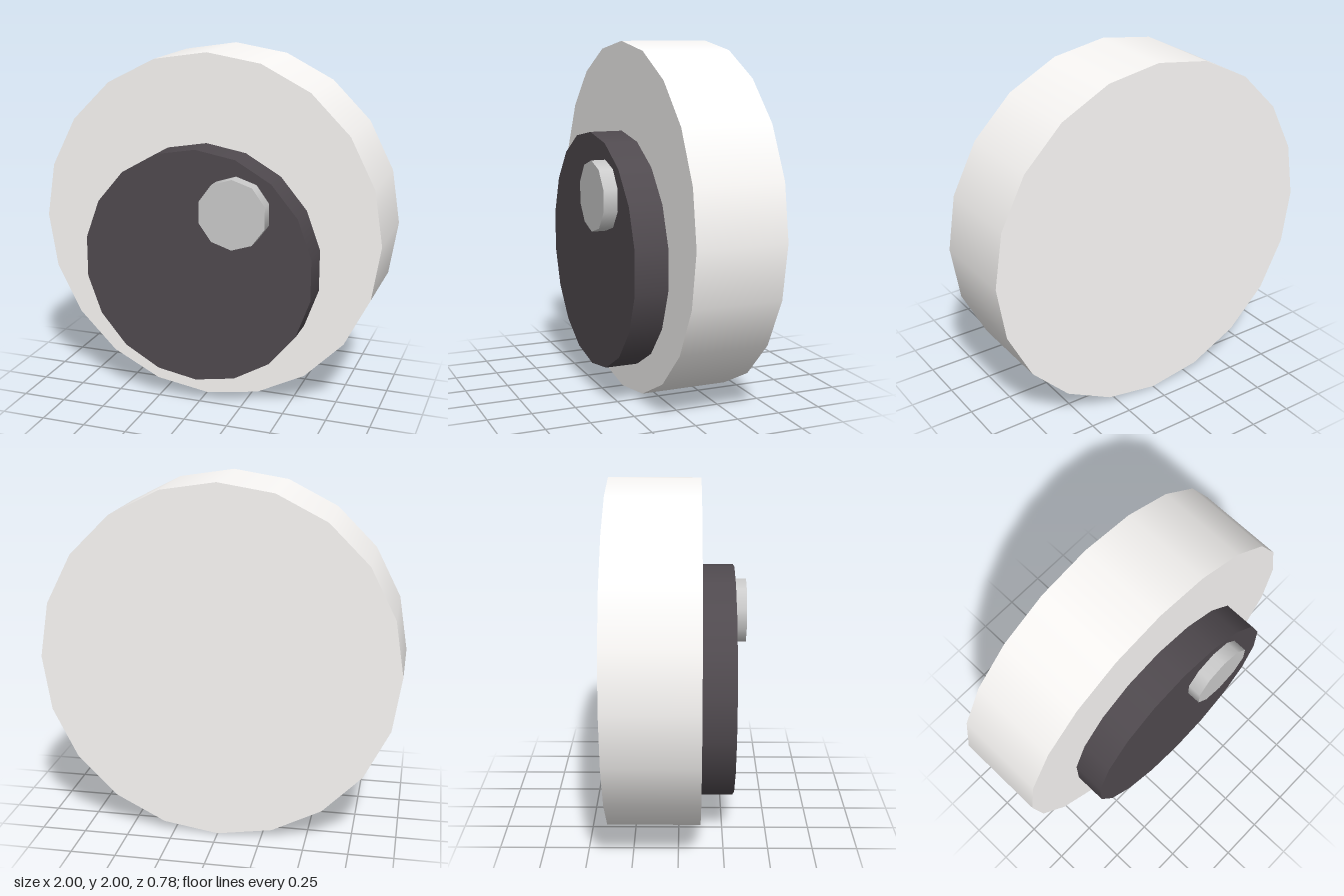
import * as THREE from 'three';

// Disc facing +z, spanning zBack..zFront, with smooth sides and a corner at the top
function disc(name, color, radius, sides, x, y, zBack, zFront) {
  const geometry = new THREE.CylinderGeometry(radius, radius, zFront - zBack, sides);
  geometry.rotateX(Math.PI / 2);
  const mesh = new THREE.Mesh(geometry, new THREE.MeshStandardMaterial({ color }));
  mesh.name = name;
  mesh.position.set(x, y, (zBack + zFront) / 2);
  return mesh;
}

export function createModel() {
  const eye = new THREE.Group();
  eye.name = 'eye';
  eye.add(
    // Thick pale disc at the back
    disc('eyeball', 0xfaf8f6, 1, 20, 0, 1, -0.39, 0.122),
    // Dark disc, set low on the eyeball
    disc('pupil', 0x504a4f, 0.67, 18, 0, 0.83, 0.122, 0.31),
    // Small glint near the pupil's upper edge
    disc('highlight', 0xcccccc, 0.195, 10, 0.236, 1.176, 0.31, 0.39),
  );
  return eye;
}
